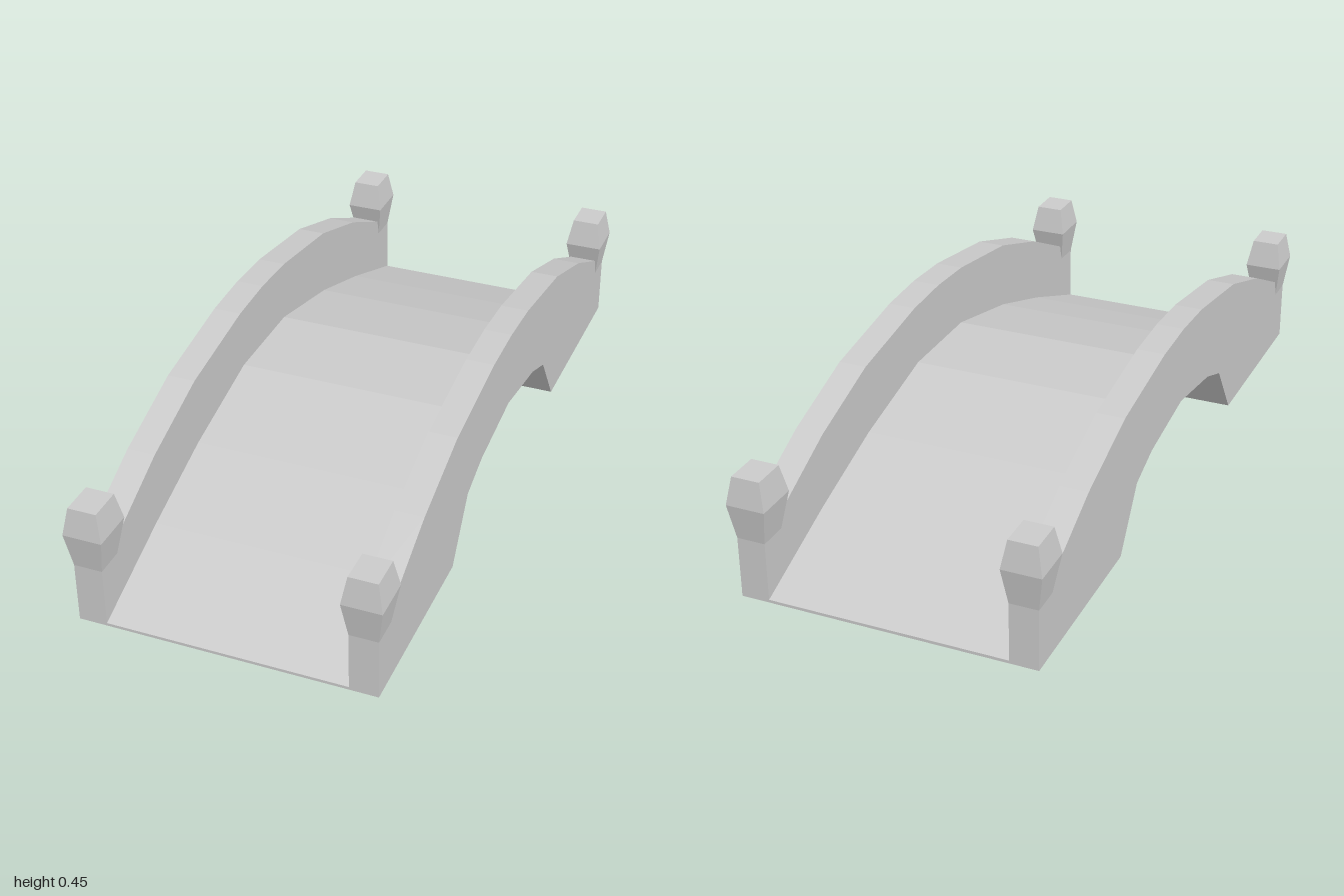
import * as THREE from 'three';

const solid = new THREE.MeshStandardMaterial({ color: 0xcccccc, flatShading: true });
const thin = new THREE.MeshStandardMaterial({ color: 0xcccccc, flatShading: true, side: THREE.DoubleSide });

const INNER = 0.325, OUTER = 0.402, END = 0.985;

// Half profiles as [z, y], from the end of the bridge to its middle
const railTop = [[END, 0.17], [0.89, 0.22], [0.68, 0.32], [0.44, 0.4], [0.15, 0.445], [0, 0.452]];
const archUnder = [[0.45, 0], [0.34, 0.16], [0.23, 0.2], [0, 0.235]];
const deckTop = [[END, 0], [END, 0.008], [0.7, 0.118], [0.44, 0.205], [0.14, 0.275]];

// Adds the mirrored half, running from +z to -z
function mirrored(half) {
  const back = half.filter(([z]) => z > 0).reverse().map(([z, y]) => [-z, y]);
  return [...half, ...back];
}

function addMesh(parent, name, geometry, material) {
  const mesh = new THREE.Mesh(geometry, material);
  mesh.name = name;
  parent.add(mesh);
  return mesh;
}

// Sheet across the bridge that follows a [z, y] profile
function ribbon(profile) {
  const geometry = new THREE.PlaneGeometry(INNER * 2, 1, 1, profile.length - 1);
  const pos = geometry.attributes.position;
  for (let i = 0; i < pos.count; i++) {
    const [z, y] = profile[Math.floor(i / 2)];
    pos.setY(i, y);
    pos.setZ(i, z);
  }
  geometry.computeVertexNormals();
  return geometry;
}

// Side wall: arched outline extruded across its thickness
function wallGeometry() {
  const outline = [...mirrored(railTop), [-END, 0], ...mirrored(archUnder).reverse(), [END, 0]];
  const shape = new THREE.Shape(outline.map(([z, y]) => new THREE.Vector2(z, y)));
  const geometry = new THREE.ExtrudeGeometry(shape, { depth: OUTER - INNER, bevelEnabled: false });
  geometry.rotateY(-Math.PI / 2);
  geometry.translate((OUTER - INNER) / 2, 0, 0);
  return geometry;
}

// Post head: square block that swells at mid height; sections are [y, half width, z min, z max]
function postGeometry() {
  const sections = [
    [0.17, 0.0385, 0.905, END],
    [0.268, 0.053, 0.88, 1],
    [0.345, 0.0385, 0.895, 0.988],
  ];
  const geometry = new THREE.BoxGeometry(1, 2, 1, 1, 2, 1);
  const pos = geometry.attributes.position;
  for (let i = 0; i < pos.count; i++) {
    const [y, half, zMin, zMax] = sections[Math.round(pos.getY(i)) + 1];
    const z = pos.getZ(i) > 0 ? zMax : zMin;
    pos.setXYZ(i, Math.sign(pos.getX(i)) * half, y, z);
  }
  geometry.computeVertexNormals();
  return geometry;
}

export function createModel() {
  const bridge = new THREE.Group();
  bridge.name = 'archBridge';

  // Walkway and arch soffit, open underneath at both ends
  addMesh(bridge, 'deck', ribbon(mirrored(deckTop).reverse()), thin);
  addMesh(bridge, 'archUnderside', ribbon(mirrored(archUnder)), thin);

  // Parapet walls with a post at each end
  const wall = wallGeometry();
  const post = postGeometry();
  for (const [side, sx] of [['left', 1], ['right', -1]]) {
    const x = sx * (INNER + OUTER) / 2;
    addMesh(bridge, side + 'Wall', wall, solid).position.x = x;
    for (const [end, turn] of [['Front', 0], ['Back', Math.PI]]) {
      const head = addMesh(bridge, side + end + 'Post', post, solid);
      head.position.x = x;
      head.rotation.y = turn;
    }
  }
  return bridge;
}
